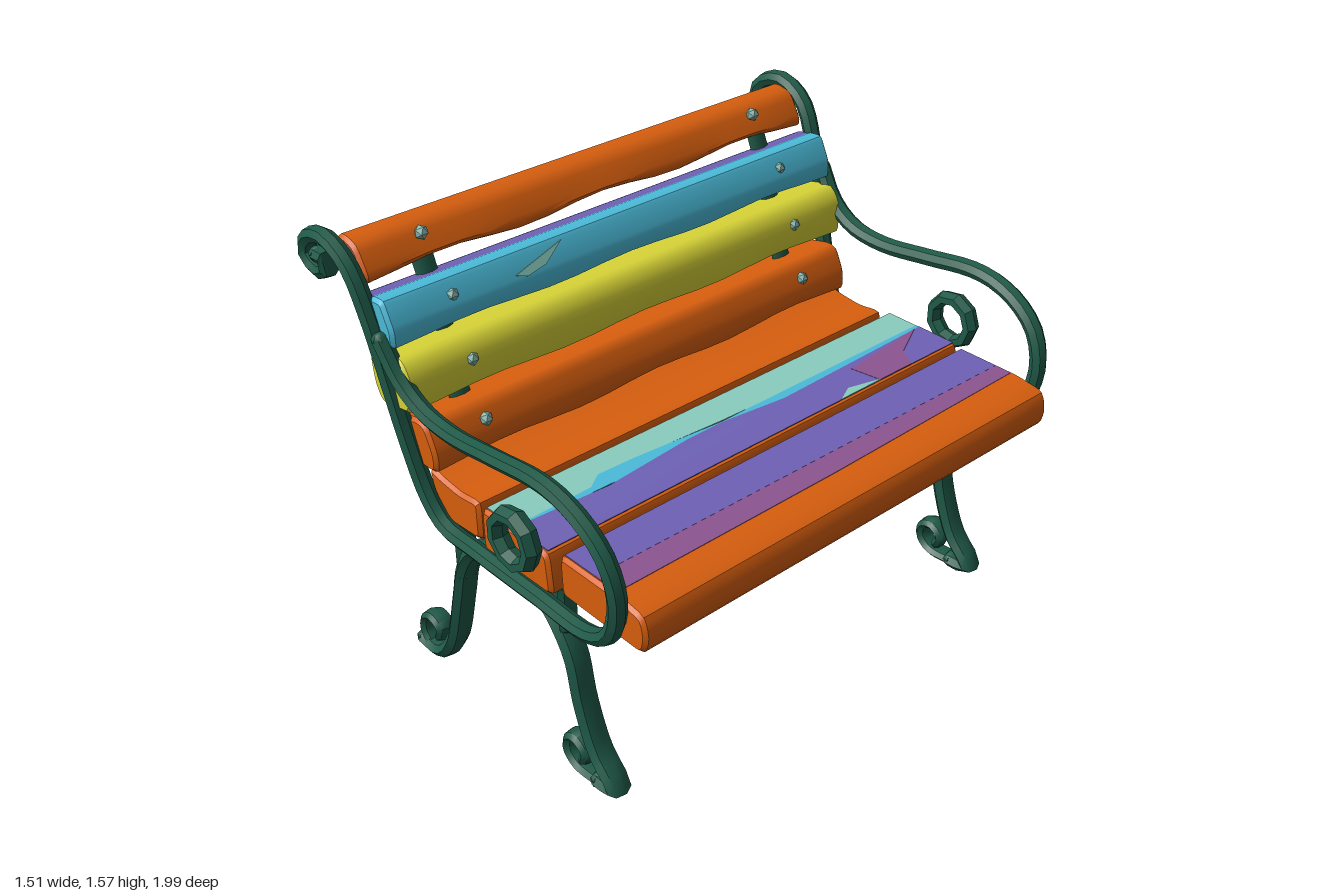
import * as THREE from 'three';
import { mergeGeometries, toCreasedNormals } from 'three/addons/utils/BufferGeometryUtils.js';

const material = (name, color) => {
  const m = new THREE.MeshStandardMaterial({ color });
  m.name = name;
  return m;
};

export function createModel() {
  const bench = new THREE.Group();
  bench.name = 'bench';
  const green = material('iron green', 0x1f5a48);
  const orange = material('orange', 0xd95f0e);
  const blue = material('sky blue', 0x4bbcda);
  const yellow = material('yellow', 0xd8d437);
  const purple = material('purple', 0x6f62b6);
  const mint = material('mint', 0x88cdbf);
  const salmon = material('worn red', 0xa9584a);
  const mauve = material('mauve', 0x8c5490);
  const steel = material('bolt grey', 0x8ab8b0);

  const add = (name, geometry, mat) => {
    const mesh = new THREE.Mesh(geometry, mat);
    mesh.name = name;
    bench.add(mesh);
    return mesh;
  };

  // Closed outline with rounded corners
  const roundedShape = (pts, r) => {
    const v = pts.map(p => new THREE.Vector2(...p));
    const shape = new THREE.Shape();
    v.forEach((p, i) => {
      const toward = q => {
        const d = q.clone().sub(p);
        return p.clone().add(d.setLength(Math.min(r, d.length() * 0.45)));
      };
      const a = toward(v[(i + v.length - 1) % v.length]);
      const b = toward(v[(i + 1) % v.length]);
      if (i) shape.lineTo(a.x, a.y);
      else shape.moveTo(a.x, a.y);
      shape.quadraticCurveTo(p.x, p.y, b.x, b.y);
    });
    shape.closePath();
    return shape;
  };

  // Plank: profile in xy run along z, its lower edge worn wavy
  const plank = (name, profile, halfLength, mat, wave = 0, radius = 0.025) => {
    const bevel = 0.012, depth = 2 * (halfLength - bevel);
    const g = new THREE.ExtrudeGeometry(roundedShape(profile, radius), {
      depth, steps: 16, curveSegments: 2,
      bevelSize: bevel, bevelOffset: -bevel, bevelThickness: bevel, bevelSegments: 1,
    });
    g.translate(0, 0, -depth / 2);
    const ys = profile.map(p => p[1]);
    const low = Math.min(...ys), mid = (low + Math.max(...ys)) / 2;
    const pos = g.attributes.position;
    for (let i = 0; i < pos.count; i++) {
      const y = pos.getY(i);
      const k = Math.max(0, (mid - y) / (mid - low));
      pos.setY(i, y + k * wave * (0.5 + 0.5 * Math.cos(pos.getZ(i) * 10)));
    }
    g.computeVertexNormals();
    add(name, toCreasedNormals(g, 0.6), mat);
  };

  // Backrest planks
  plank('topBackPlank', [[-0.63, 1.5], [-0.59, 1.55], [-0.51, 1.535], [-0.455, 1.44], [-0.47, 1.415], [-0.5, 1.42], [-0.59, 1.46]], 0.925, [salmon, orange], 0.025);
  plank('blueBackPlankRear', [[-0.52, 1.36], [-0.47, 1.395], [-0.42, 1.4], [-0.42, 1.24], [-0.45, 1.235], [-0.5, 1.26]], 0.935, purple, 0.015, 0.015);
  plank('blueBackPlankFront', [[-0.43, 1.402], [-0.365, 1.408], [-0.322, 1.32], [-0.322, 1.26], [-0.43, 1.235]], 0.94, blue, 0.02, 0.015);
  plank('yellowBackPlank', [[-0.468, 1.19], [-0.44, 1.22], [-0.3, 1.235], [-0.26, 1.18], [-0.26, 1.06], [-0.42, 1.032], [-0.455, 1.09]], 0.94, yellow, 0.02);
  plank('lowBackPlank', [[-0.425, 0.99], [-0.28, 1.025], [-0.24, 1.02], [-0.197, 0.93], [-0.197, 0.86], [-0.365, 0.852], [-0.395, 0.91]], 0.91, orange, 0.02);

  // Seat planks
  plank('rearSeatPlank', [[-0.26, 0.865], [-0.2, 0.85], [-0.1, 0.84], [0, 0.853], [0, 0.71], [-0.16, 0.7], [-0.24, 0.78]], 0.9, orange);
  plank('middleSeatPlank', [[0.027, 0.857], [0.345, 0.857], [0.36, 0.71], [0.027, 0.705]], 0.91, orange);
  plank('frontSeatPlank', [[0.375, 0.863], [0.63, 0.863], [0.74, 0.848], [0.758, 0.78], [0.74, 0.715], [0.38, 0.72]], 0.89, orange);

  // Thin paint layers lying on a level face, points given as [x, z]
  const paint = (name, pts, y, mat) => {
    const g = new THREE.ExtrudeGeometry(
      new THREE.Shape(pts.map(([x, z]) => new THREE.Vector2(x, -z))),
      { depth: 0.003, bevelEnabled: false });
    add(name, g.rotateX(-Math.PI / 2).translate(0, y, 0), mat);
  };
  const e = 0.895;
  paint('mintPaint', [[0.04, -e], [0.18, -e], [0.17, -0.3], [0.16, 0.05], [0.13, 0.5], [0.17, 0.6], [0.18, e], [0.04, e]], 0.856, mint);
  paint('bluePaint', [[0.165, -e], [0.2, -e], [0.2, 0.3], [0.19, e], [0.175, e], [0.17, 0.6], [0.13, 0.54], [0.135, 0.4], [0.165, 0.05]], 0.857, blue);
  paint('middlePurplePaint', [[0.18, -e], [0.335, -e], [0.335, e], [0.18, e], [0.2, 0.55], [0.17, 0.2], [0.17, 0.05], [0.2, -0.2]], 0.858, purple);
  paint('mauvePatch', [[0.18, -0.87], [0.26, -0.72], [0.335, -0.68], [0.335, -0.52], [0.22, -0.5]], 0.859, mauve);
  paint('bluePatch', [[0.3, -0.4], [0.335, -0.53], [0.335, -0.33]], 0.8595, mint);
  paint('frontPurplePaint', [[0.388, -0.875], [0.54, -0.875], [0.525, 0.875], [0.388, 0.875]], 0.862, purple);
  paint('frontMauvePaint', [[0.535, -0.875], [0.605, -0.875], [0.62, 0], [0.62, 0.875], [0.525, 0.875]], 0.8615, mauve);
  paint('undersidePaint', [[-0.145, -0.88], [-0.02, -0.88], [-0.02, 0.88], [-0.145, 0.88]], 0.699, salmon);

  // Faded patch on the blue plank
  const patch = new THREE.Shape([[-0.1, 0.035], [0.1, -0.02], [0.06, -0.035], [-0.02, -0.02]].map(p => new THREE.Vector2(-p[0], p[1])));
  const faded = add('fadedPatch', new THREE.ExtrudeGeometry(patch, { depth: 0.004, bevelEnabled: false }), mint);
  faded.rotation.set(0, Math.PI / 2, 0);
  faded.geometry.rotateX(-0.454);
  faded.position.set(-0.341, 1.362, 0.37);

  // Iron bar following points, with rounded ends and a z-stretched section
  const bar = (name, pts, zAt, radius, stretch) => {
    const curve = new THREE.CatmullRomCurve3(pts.map(([x, y]) => new THREE.Vector3(x, y, 0)), false, 'centripetal');
    const parts = [new THREE.TubeGeometry(curve, pts.length * 3, radius, 7)];
    for (const t of [0, 1]) {
      const p = curve.getPoint(t);
      parts.push(new THREE.SphereGeometry(radius, 7, 5).translate(p.x, p.y, 0));
    }
    const g = mergeGeometries(parts).scale(1, 1, stretch);
    const pos = g.attributes.position;
    for (let i = 0; i < pos.count; i++) pos.setZ(i, pos.getZ(i) + zAt(pos.getY(i)));
    add(name, toCreasedNormals(g, 0.7), green);
  };

  const framePath = [
    [-0.66, 1.465], [-0.61, 1.465], [-0.62, 1.42], [-0.68, 1.41], [-0.73, 1.45], [-0.7, 1.51],
    [-0.6, 1.545], [-0.49, 1.49], [-0.42, 1.34], [-0.365, 1.135], [-0.31, 0.93], [-0.245, 0.76],
    [-0.17, 0.685], [0, 0.677], [0.3, 0.677], [0.53, 0.68], [0.63, 0.74], [0.677, 0.885],
    [0.645, 1.01], [0.57, 1.085], [0.465, 1.13], [0.36, 1.14], [0.17, 1.115], [-0.05, 1.09],
    [-0.2, 1.11], [-0.3, 1.175], [-0.37, 1.28]];
  const legPath = [
    [-0.47, 0.032], [-0.37, 0.03], [-0.29, 0.12], [-0.22, 0.35], [-0.185, 0.48], [-0.11, 0.595],
    [0, 0.642], [0.09, 0.65], [0.19, 0.635], [0.27, 0.59], [0.36, 0.47], [0.4, 0.3], [0.465, 0.14],
    [0.55, 0.04], [0.47, 0.03]];
  const rearCurl = [[-0.42, 0.03], [-0.455, 0.075], [-0.45, 0.125], [-0.405, 0.155], [-0.36, 0.135], [-0.37, 0.09]];
  const frontCurl = [[0.5, 0.03], [0.37, 0.028], [0.325, 0.07], [0.335, 0.12], [0.375, 0.135], [0.415, 0.105], [0.4, 0.065]];
  const strapPath = [[-0.49, 1.47], [-0.43, 1.32], [-0.375, 1.13], [-0.31, 0.94], [-0.25, 0.82]];

  for (const s of [-1, 1]) {
    const side = s > 0 ? 'Left' : 'Right';
    // Frame leaning slightly outward toward the top
    const frameZ = y => s * (0.91 + 0.055 * (y - 0.68) / 0.87);
    const legZ = () => s * 0.837;
    bar('armFrame' + side, framePath, frameZ, 0.028, 1.15);
    bar('legs' + side, legPath, legZ, 0.029, 1.55);
    bar('rearFootCurl' + side, rearCurl, legZ, 0.019, 1.9);
    bar('frontFootCurl' + side, frontCurl, legZ, 0.02, 1.9);
    bar('rearLegPost' + side, [[-0.185, 0.46], [-0.185, 0.68]], legZ, 0.023, 1.7);
    bar('frontLegPost' + side, [[0.335, 0.55], [0.335, 0.7]], legZ, 0.02, 1.7);
    bar('backStrap' + side, strapPath, () => s * 0.71, 0.018, 2.2);

    // Ring under the armrest
    const ring = new THREE.TorusGeometry(0.083, 0.025, 6, 9).scale(1, 1, 1.35);
    ring.translate(0.27, 0.9, s * 0.965);
    add('armRing' + side, toCreasedNormals(ring, 0.5), green);

    // Bolts
    for (const [x, y] of [[-0.485, 1.515], [-0.348, 1.355], [-0.267, 1.165], [-0.217, 0.97]]) {
      const bolt = new THREE.IcosahedronGeometry(0.024, 0);
      add('bolt' + side, bolt.translate(x, y, s * 0.7), steel);
    }
  }
  return bench;
}
